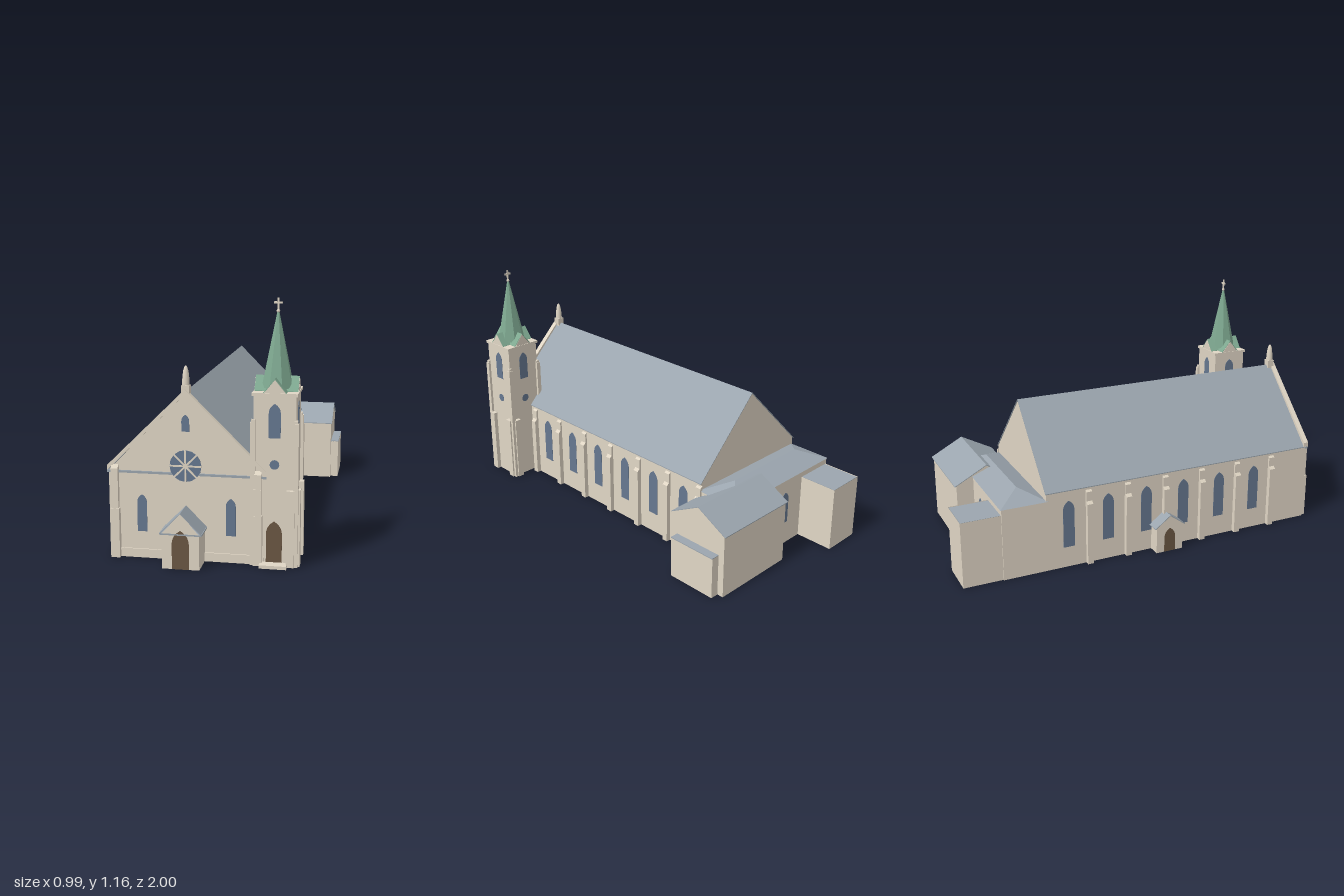
import * as THREE from 'three';

export function createModel() {
  const root = new THREE.Group();
  root.name = 'church';
  const mk = (name, color) => {
    const m = new THREE.MeshStandardMaterial({ color });
    m.name = name;
    return m;
  };
  const stone = mk('stone', 0xe0d6c5);
  stone.side = THREE.DoubleSide; // wall shells are hollow
  const slate = mk('slate', 0x9ba5ae);
  const glass = mk('window blue', 0x667890);
  const wood = mk('door brown', 0x6a5743);
  const copper = mk('copper green', 0x7fa991);

  const add = (name, geo, mat) => {
    const m = new THREE.Mesh(geo, mat);
    m.name = name;
    root.add(m);
    return m;
  };
  const boxGeo = (x0, x1, y0, y1, z0, z1) =>
    new THREE.BoxGeometry(x1 - x0, y1 - y0, z1 - z0).translate((x0 + x1) / 2, (y0 + y1) / 2, (z0 + z1) / 2);
  const box = (name, mat, ...size) => add(name, boxGeo(...size), mat);
  // Prism: profile points (u, y) swept along an axis; u is x for axis z, and z for axis x
  const prismGeo = (axis, pts, from, to) => {
    const s = new THREE.Shape(pts.map(([u, y]) => new THREE.Vector2(axis === 'x' ? -u : u, y)));
    const g = new THREE.ExtrudeGeometry(s, { depth: to - from, bevelEnabled: false });
    g.translate(0, 0, from);
    return axis === 'x' ? g.rotateY(Math.PI / 2) : g;
  };
  const prism = (name, mat, ...args) => add(name, prismGeo(...args), mat);
  // Keep only the upright faces, leaving walls open at top and bottom
  const upright = (geo) => {
    const g = geo.index ? geo.toNonIndexed() : geo;
    const p = g.attributes.position, n = g.attributes.normal, out = [];
    for (let i = 0; i < p.count; i += 3) {
      if (Math.abs(n.getY(i)) < 0.1) out.push(...p.array.slice(i * 3, i * 3 + 9));
    }
    const r = new THREE.BufferGeometry();
    r.setAttribute('position', new THREE.Float32BufferAttribute(out, 3));
    r.computeVertexNormals();
    return r;
  };
  const boxWalls = (name, ...size) => add(name, upright(boxGeo(...size)), stone);
  // Gabled block: c = ridge line, w = half width
  const gableWalls = (name, axis, c, w, eave, ridge, from, to) =>
    add(name, upright(prismGeo(axis, [[c - w, 0], [c + w, 0], [c + w, eave], [c, ridge], [c - w, eave]], from, to)), stone);
  const gableRoof = (name, mat, axis, c, w, eave, ridge, t, from, to) =>
    prism(name, mat, axis, [[c - w, eave - t], [c, ridge - t], [c + w, eave - t],
      [c + w, eave], [c, ridge], [c - w, eave]], from, to);
  // Thin plate on a wall, turned by angle ry about y
  const plate = (name, mat, shape, x, y, z, ry) => {
    const m = add(name, new THREE.ExtrudeGeometry(shape, { depth: 0.005, bevelEnabled: false, curveSegments: 8 }), mat);
    m.position.set(x, y, z);
    m.rotation.y = ry;
  };
  const lancet = (w, h) => {
    const s = new THREE.Shape();
    const spring = h - w * 0.85, r = w / 2;
    s.moveTo(-r, 0);
    s.lineTo(r, 0);
    s.lineTo(r, spring);
    s.quadraticCurveTo(r, h - w * 0.3, 0, h);
    s.quadraticCurveTo(-r, h - w * 0.3, -r, spring);
    return s;
  };
  const disc = (r) => new THREE.Shape().absarc(0, 0, r, 0, Math.PI * 2);
  const FRONT = 0, BACK = Math.PI, LEFT = Math.PI / 2, RIGHT = -Math.PI / 2;
  const cx = -0.078;

  // Nave
  gableWalls('naveWalls', 'z', cx, 0.35, 0.4, 0.756, -0.586, 0.878);
  gableRoof('naveRoof', slate, 'z', cx, 0.355, 0.4, 0.761, 0.004, -0.59, 0.865);
  gableRoof('gableCoping', stone, 'z', cx, 0.355, 0.422, 0.772, 0.022, 0.862, 0.888);
  box('frontPlinth', stone, -0.423, 0.267, 0, 0.04, 0.87, 0.884);
  box('stringCourse', slate, -0.435, 0.279, 0.39, 0.4, 0.87, 0.886);

  // Gable pinnacle
  box('pinnacleBase', stone, cx - 0.018, cx + 0.018, 0.745, 0.787, 0.84, 0.876);
  const pinnacle = add('pinnacle', new THREE.LatheGeometry(
    [[0.017, 0], [0.016, 0.03], [0.012, 0.065], [0.006, 0.083], [0, 0.088]].map(([r, y]) => new THREE.Vector2(r, y)), 12), stone);
  pinnacle.position.set(cx, 0.785, 0.858);

  // Front windows and rose window
  for (const s of [-1, 1]) plate('frontLancet', glass, lancet(0.044, 0.17), cx + s * 0.2, 0.122, 0.875, FRONT);
  plate('gableLancet', glass, lancet(0.035, 0.075), cx, 0.585, 0.875, FRONT);
  plate('roseWindow', glass, disc(0.071), cx, 0.432, 0.882, FRONT);
  for (let i = 0; i < 4; i++) {
    const spoke = add('roseSpoke', new THREE.BoxGeometry(0.142, 0.008, 0.006), stone);
    spoke.position.set(cx, 0.432, 0.886);
    spoke.rotation.z = (i * Math.PI) / 4;
  }

  // Side buttresses and windows
  for (const s of [-1, 1]) {
    const wx = (d) => cx + s * (0.35 + d);
    for (let i = 0; i < 7; i++) {
      const z = 0.66 - i * 0.206;
      if (i < 6 || s > 0) {
        prism('sideButtress', stone, 'z', [[wx(-0.005), 0], [wx(0.023), 0], [wx(0.023), 0.315], [wx(0.01), 0.328],
          [wx(0.01), 0.375], [wx(-0.005), 0.388]], z - 0.015, z + 0.015);
      }
      if (i < 6) plate('sideLancet', glass, lancet(0.058, 0.24), wx(-0.0035), 0.105, z - 0.103, s > 0 ? LEFT : RIGHT);
    }
    // Front corner buttresses
    const fx = cx + s * 0.32;
    box('cornerButtressBase', stone, fx - 0.02, fx + 0.02, 0, 0.227, 0.87, 0.903);
    prism('cornerButtress', stone, 'x', [[0.87, 0.2], [0.898, 0.2], [0.898, 0.41], [0.885, 0.425], [0.87, 0.425]],
      fx - 0.016, fx + 0.016);
  }

  // Front porch
  gableWalls('porchWalls', 'z', cx, 0.083, 0.158, 0.249, 0.878, 0.999);
  gableRoof('porchRoof', slate, 'z', cx, 0.093, 0.158, 0.252, 0.004, 0.87, 0.998);
  box('porchBand', slate, cx - 0.094, cx + 0.094, 0.153, 0.16, 0.88, 1);
  plate('porchDoor', wood, lancet(0.076, 0.175), cx, 0, 0.995, FRONT);

  // Right-hand side porch of the nave
  gableWalls('sidePorchWalls', 'x', 0.04, 0.072, 0.138, 0.19, -0.489, -0.428);
  gableRoof('sidePorchRoof', slate, 'x', 0.04, 0.082, 0.135, 0.195, 0.004, -0.495, -0.42);
  plate('sidePorchDoor', wood, lancet(0.06, 0.125), -0.485, 0, 0.04, RIGHT);

  // Chancel with a hipped roof
  boxWalls('chancelWalls', -0.428, 0.272, 0, 0.36, -0.805, -0.586);
  const hip = new THREE.BufferGeometry();
  hip.setAttribute('position', new THREE.Float32BufferAttribute([
    -0.432, 0.36, -0.575, 0.277, 0.36, -0.575, 0.277, 0.36, -0.81, -0.432, 0.36, -0.81,
    -0.31, 0.41, -0.69, 0.15, 0.41, -0.69], 3));
  hip.setIndex([0, 1, 5, 0, 5, 4, 1, 2, 5, 2, 3, 4, 2, 4, 5, 3, 0, 4, 0, 3, 2, 0, 2, 1]);
  const hipFlat = hip.toNonIndexed();
  hipFlat.computeVertexNormals();
  add('chancelRoof', hipFlat, slate);
  plate('chancelLancet', glass, lancet(0.05, 0.17), -0.1, 0.12, -0.8015, BACK);

  // Back annex, sacristy and its lean-to
  boxWalls('backAnnex', -0.422, -0.225, 0, 0.33, -1, -0.805);
  box('backAnnexRoof', slate, -0.418, -0.229, 0.325, 0.329, -0.997, -0.8);
  gableWalls('sacristyWalls', 'x', -0.735, 0.157, 0.326, 0.406, 0.012, 0.449);
  gableRoof('sacristyRoof', slate, 'x', -0.735, 0.166, 0.323, 0.412, 0.004, 0.008, 0.455);
  boxWalls('leanTo', 0.445, 0.49, 0, 0.209, -0.86, -0.603);
  box('leanToRoof', slate, 0.445, 0.492, 0.208, 0.212, -0.86, -0.603);

  // Tower
  const tx = 0.313, tz = 0.79, h = 0.092;
  boxWalls('towerBody', tx - h, tx + h, 0, 0.76, tz - h, tz + h);
  box('towerCornice', stone, tx - 0.099, tx + 0.099, 0.755, 0.768, tz - 0.099, tz + 0.099);
  for (const sx of [-1, 1]) for (const sz of [-1, 1]) {
    const range = (c, s, a, b) => (s > 0 ? [c + a, c + b] : [c - b, c - a]);
    box('towerButtressFront', stone, ...range(tx, sx, 0.055, 0.09), 0, 0.345, ...range(tz, sz, 0.085, 0.112));
    box('towerButtressSide', stone, ...range(tx, sx, 0.085, 0.113), 0, 0.345, ...range(tz, sz, 0.055, 0.09));
    box('towerPilaster', stone, ...range(tx, sx, 0.083, 0.105), 0, 0.64, ...range(tz, sz, 0.083, 0.105));
    box('towerPilasterCap', stone, ...range(tx, sx, 0.083, 0.101), 0.64, 0.652, ...range(tz, sz, 0.083, 0.101));
  }
  for (const a of [FRONT, LEFT, BACK, RIGHT]) {
    const x = tx + Math.sin(a) * (h - 0.0035), z = tz + Math.cos(a) * (h - 0.0035);
    plate('towerLancet', glass, lancet(0.052, 0.15), x, 0.572, z, a);
    plate('towerOculus', glass, disc(0.021), x, 0.455, z, a);
  }
  plate('towerDoor', wood, lancet(0.07, 0.187), tx, 0.014, tz + h - 0.0035, FRONT);
  box('towerStep', stone, tx - 0.06, tx + 0.06, 0, 0.015, 0.87, 0.93);

  // Crossing gables at the foot of the spire
  for (const [axis, c, m] of [['z', tx, tz], ['x', tz, tx]]) {
    prism('spireGable', stone, axis, [[c - 0.047, 0.766], [c + 0.047, 0.766], [c, 0.825]], m - 0.096, m + 0.096);
    gableRoof('spireGableRoof', copper, axis, c, 0.05, 0.769, 0.83, 0.004, m - 0.095, m + 0.095);
  }

  // Spire and cross
  const spireGeo = new THREE.CylinderGeometry(0.003, 0.072, 0.333, 8, 1).toNonIndexed();
  spireGeo.rotateY(Math.PI / 8);
  spireGeo.computeVertexNormals();
  add('spire', spireGeo, copper).position.set(tx, 0.9465, tz);
  add('spireBall', new THREE.SphereGeometry(0.008, 12, 8), stone).position.set(tx, 1.108, tz);
  box('crossPost', stone, tx - 0.004, tx + 0.004, 1.11, 1.165, tz - 0.003, tz + 0.003);
  box('crossArm', stone, tx - 0.018, tx + 0.018, 1.139, 1.148, tz - 0.003, tz + 0.003);

  return root;
}
